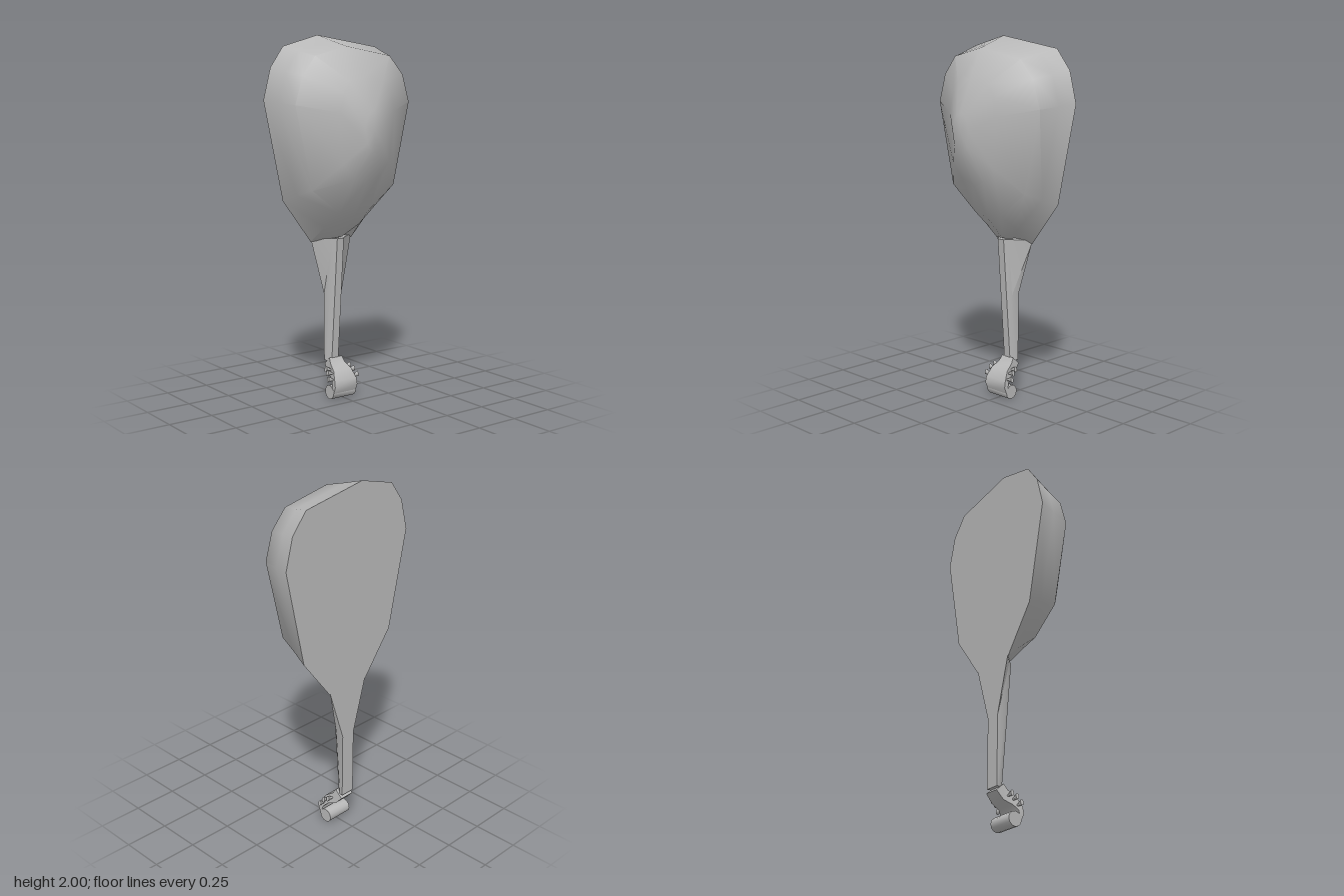
import * as THREE from 'three';
import { toCreasedNormals } from 'three/addons/utils/BufferGeometryUtils.js';

const grey = new THREE.MeshStandardMaterial({ color: 0xb8b8b8 });
grey.name = 'plain grey';

// Skin a list of equal-length rings of [x, y, z] and close both ends.
function loft(rings, crease) {
  const pos = [];
  const tri = (a, b, c) => pos.push(...a, ...b, ...c);
  const n = rings[0].length;
  const centre = (r) => [0, 1, 2].map((k) => r.reduce((s, p) => s + p[k], 0) / n);
  const first = rings[0], last = rings[rings.length - 1];
  const c0 = centre(first), c1 = centre(last);
  for (let j = 0; j < n; j++) {
    const k = (j + 1) % n;
    for (let i = 0; i < rings.length - 1; i++) {
      const a = rings[i][j], b = rings[i][k], c = rings[i + 1][k], d = rings[i + 1][j];
      tri(a, b, c);
      tri(a, c, d);
    }
    tri(c0, first[k], first[j]);
    tri(c1, last[j], last[k]);
  }
  const g = new THREE.BufferGeometry();
  g.setAttribute('position', new THREE.Float32BufferAttribute(pos, 3));
  return toCreasedNormals(g, crease);
}

function add(group, name, geometry) {
  const m = new THREE.Mesh(geometry, grey);
  m.name = name;
  group.add(m);
  return m;
}

export function createModel() {
  const model = new THREE.Group();
  model.name = 'lute';

  // Bowl: outlines stacked from the flat soundboard to the crown
  const board = [[-0.09, 2], [-0.31, 1.94], [-0.39, 1.83], [-0.435, 1.66], [-0.32, 1.12], [-0.14, 0.88],
    [0, 0.88], [0.135, 0.88], [0.32, 1.12], [0.435, 1.66], [0.39, 1.83], [0.3, 1.94]];
  const shoulder = [[-0.05, 1.94], [-0.25, 1.89], [-0.33, 1.79], [-0.375, 1.64], [-0.27, 1.19], [-0.1, 1.06],
    [0, 1.035], [0.1, 1.06], [0.27, 1.19], [0.375, 1.64], [0.33, 1.79], [0.24, 1.89]];
  const upper = [[-0.02, 1.78], [-0.11, 1.76], [-0.15, 1.7], [-0.175, 1.6], [-0.15, 1.33], [-0.08, 1.25],
    [0, 1.23], [0.08, 1.25], [0.15, 1.33], [0.185, 1.6], [0.16, 1.7], [0.11, 1.76]];
  const crown = [[-0.01, 1.61], [-0.035, 1.6], [-0.055, 1.57], [-0.07, 1.52], [-0.055, 1.44], [-0.035, 1.41],
    [-0.01, 1.4], [0.02, 1.41], [0.04, 1.44], [0.05, 1.52], [0.04, 1.57], [0.02, 1.6]];
  const heelRing = board.map((p, i) => [(p[0] + shoulder[i][0]) / 2, (p[1] + shoulder[i][1]) / 2]);
  heelRing[6] = [0, 0.91];
  const at = (outline, z) => outline.map(([x, y]) => [x, y, z]);
  add(model, 'bowl', loft([at(board, -0.2), at(heelRing, -0.1), at(shoulder, 0.01), at(upper, 0.12), at(crown, 0.2)], 0.85));

  // Neck: flared where it meets the bowl, then a slim rounded bar
  const neckRing = ([y, left, right, z]) => [[right, y, -0.2], [0.03, y, z - 0.025], [0.012, y, z],
    [-0.032, y, z], [-0.05, y, z - 0.025], [left, y, -0.2]];
  add(model, 'neck', loft([[0.9, -0.14, 0.135, -0.1], [0.88, -0.135, 0.13, -0.102],
    [0.58, -0.052, 0.032, -0.125], [0.2, -0.052, 0.032, -0.155]].map(neckRing), 0.8));

  // Pegbox: each section is half width, front z/y, back z/y
  const headRing = ([w, fz, fy, bz, by]) => [[w - 0.006, by, bz], [w - 0.006, fy, fz],
    [-w - 0.006, fy, fz], [-w - 0.006, by, bz]];
  add(model, 'pegbox', loft([[0.043, -0.155, 0.22, -0.2, 0.18], [0.048, -0.135, 0.19, -0.16, 0.135],
    [0.06, -0.09, 0.16, -0.11, 0.115], [0.074, -0.06, 0.11, -0.085, 0.09],
    [0.076, -0.053, 0.075, -0.08, 0.07], [0.076, -0.07, 0.035, -0.1, 0.035]].map(headRing), 0.8));

  // Scroll bar at the end of the pegbox
  const scroll = add(model, 'scroll', toCreasedNormals(new THREE.CylinderGeometry(0.04, 0.04, 0.153, 12), 0.8));
  scroll.rotation.z = Math.PI / 2;
  scroll.position.set(-0.006, 0.04, -0.108);

  // Three tuning pegs on each side
  for (const side of [-1, 1]) {
    [[0.16, -0.132, 0.052], [0.145, -0.106, 0.06], [0.115, -0.085, 0.07]].forEach(([y, z, x]) => {
      const peg = new THREE.Group();
      peg.name = 'tuningPeg';
      const shaft = add(peg, 'pegShaft', new THREE.CylinderGeometry(0.007, 0.007, 0.05, 6));
      const knob = add(peg, 'pegKnob', new THREE.CylinderGeometry(0.017, 0.01, 0.022, 8));
      knob.scale.z = 0.6;
      knob.position.y = 0.022;
      shaft.position.y = -0.005;
      peg.position.set(-0.006 + side * x, y, z);
      peg.rotation.z = -side * 1.35;
      model.add(peg);
    });
  }
  return model;
}
